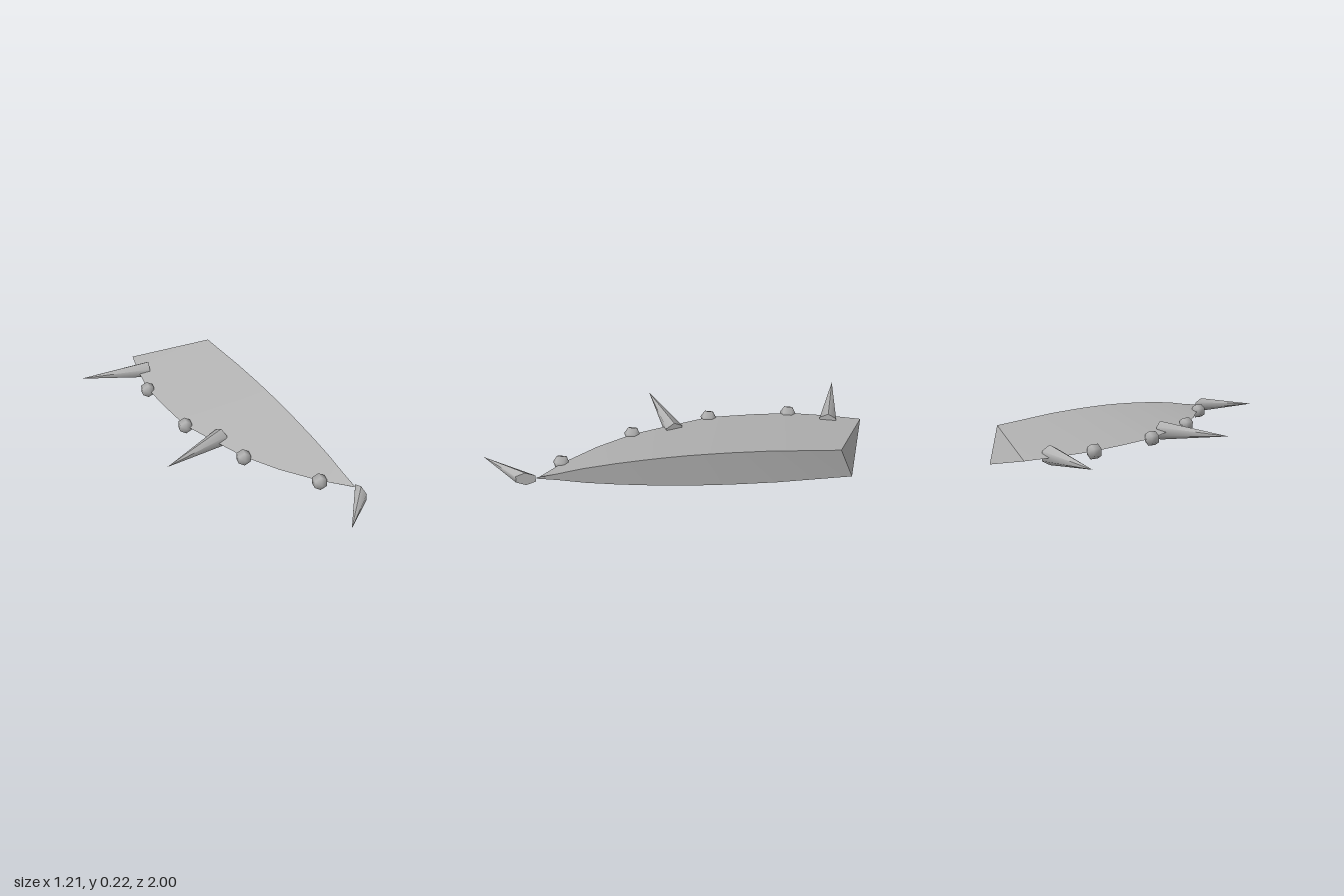
import * as THREE from 'three';

const MID = 0.11;

export function createModel() {
  const model = new THREE.Group();
  const grey = new THREE.MeshStandardMaterial({ color: 0xb3b3b3 });
  grey.name = 'grey';

  const add = (name, geometry) => {
    const mesh = new THREE.Mesh(geometry, grey);
    mesh.name = name;
    model.add(mesh);
    return mesh;
  };

  // Body: a blade with a curved sharp edge and a flat, tapering side
  const edge = [
    [-0.25, -1], [-0.255, -0.82], [-0.245, -0.6], [-0.2, -0.4], [-0.17, -0.29],
    [-0.13, -0.15], [-0.06, -0.03], [0.01, 0.09], [0.1, 0.24], [0.25, 0.41],
    [0.42, 0.56], [0.58, 0.665],
  ];
  const thickness = new THREE.SplineCurve([
    [0, 0.098], [0.25, 0.112], [0.5, 0.105], [0.7, 0.08], [0.85, 0.048], [1, 0.004],
  ].map(([u, h]) => new THREE.Vector2(u, h)));
  const halfThickness = (u) => {
    const pts = thickness.points;
    let i = 0;
    while (i < pts.length - 2 && u > pts[i + 1].x) i++;
    const f = (u - pts[i].x) / (pts[i + 1].x - pts[i].x);
    return thickness.getPoint((i + f) / (pts.length - 1)).y;
  };
  const lead = [], upper = [], lower = [];
  for (const [x, z] of edge) {
    const u = (z + 1) / 1.665;
    const h = halfThickness(u);
    lead.push([x, MID, z]);
    upper.push([0.21 + 0.37 * u, MID + 0.003 + h, -0.91 + 1.575 * u]);
    lower.push([0.17 + 0.41 * u, MID + 0.003 - h, -0.98 + 1.645 * u]);
  }

  // A smooth strip between two rows of points
  const panel = (a, b) => {
    const geometry = new THREE.BufferGeometry();
    geometry.setAttribute('position', new THREE.Float32BufferAttribute([...a, ...b].flat(), 3));
    const index = [];
    const n = a.length;
    for (let i = 0; i < n - 1; i++) {
      index.push(i, i + 1, n + i, n + i, i + 1, n + i + 1);
    }
    geometry.setIndex(index);
    geometry.computeVertexNormals();
    return geometry;
  };
  add('bodyTop', panel(lead, upper));
  add('bodySide', panel(upper, lower));
  add('bodyUnderside', panel(lower, lead));

  const end = new THREE.BufferGeometry();
  end.setAttribute('position', new THREE.Float32BufferAttribute([lead[0], upper[0], lower[0]].flat(), 3));
  end.computeVertexNormals();
  add('bodyEnd', end);

  // Six-sided spikes: a cone mapped onto a base centre, an apex and a base direction
  const spike = (name, base, apex, across, halfWidth, halfHeight) => {
    const geometry = new THREE.ConeGeometry(1, 1, 6);
    const p = geometry.attributes.position;
    const k = halfWidth / Math.sin(Math.PI / 3) / Math.hypot(...across);
    for (let i = 0; i < p.count; i++) {
      const t = p.getY(i) + 0.5;
      const w = p.getX(i) * k;
      p.setXYZ(i,
        base[0] + t * (apex[0] - base[0]) + w * across[0],
        MID + p.getZ(i) * halfHeight,
        base[1] + t * (apex[1] - base[1]) + w * across[1]);
    }
    geometry.computeVertexNormals();
    add(name, geometry);
  };
  spike('rearSpike', [-0.19, -0.82], [-0.605, -0.82], [0, -1], 0.046, 0.053);
  spike('middleSpike', [0.035, 0.018], [-0.325, 0.225], [-0.207, -0.36], 0.046, 0.053);
  spike('tipSpike', [0.594, 0.72], [0.44, 0.995], [-0.025, -0.1], 0.052, 0.04);

  // Small faceted beads along the sharp edge
  const bead = new THREE.SphereGeometry(0.045, 6, 3).rotateX(Math.PI / 2).rotateZ(Math.PI / 2);
  for (const [x, z] of [[-0.247, -0.59], [-0.13, -0.15], [0.098, 0.245], [0.42, 0.57]]) {
    add('bead', bead).position.set(x, MID, z);
  }

  return model;
}
